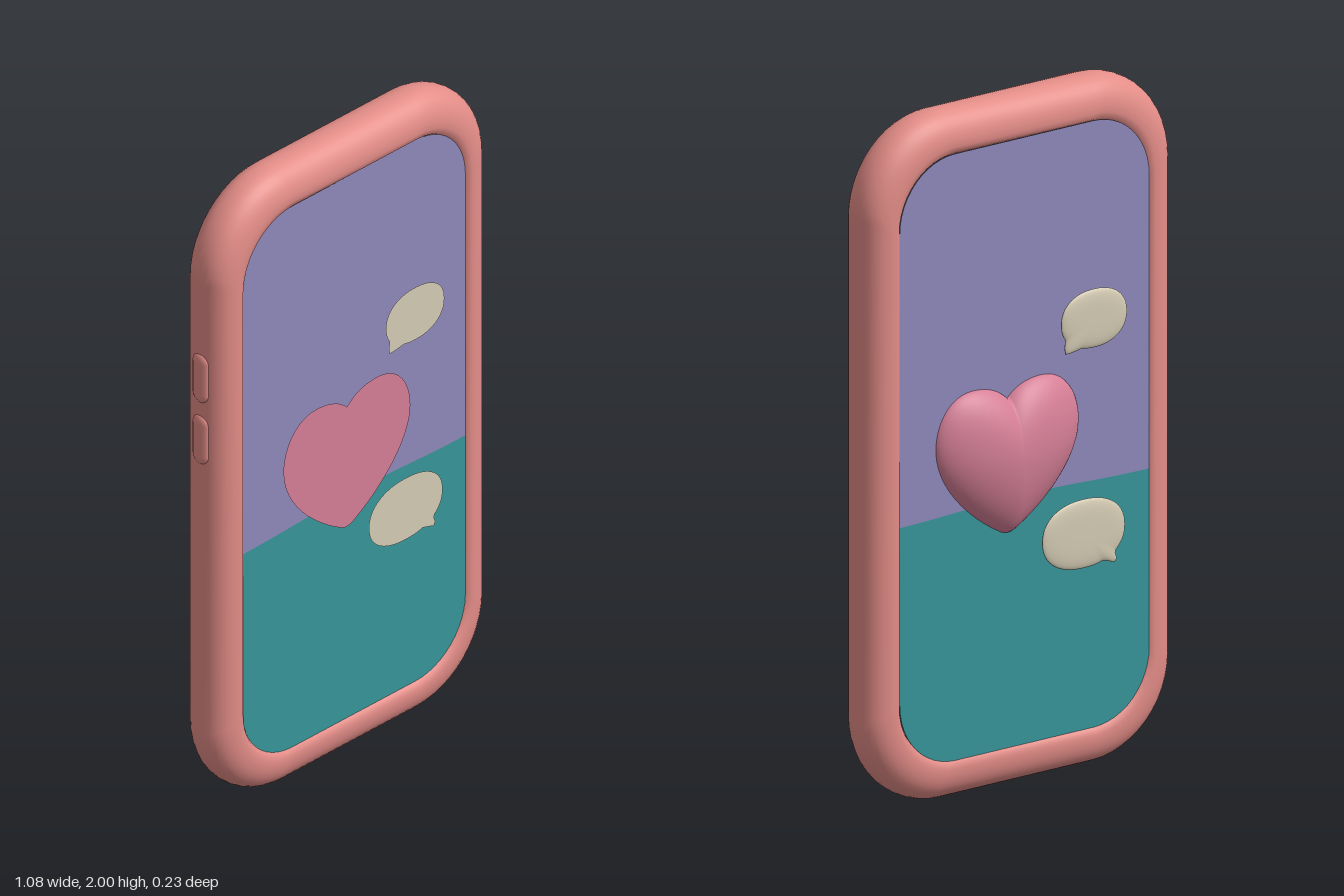
import * as THREE from 'three';
import { mergeVertices } from 'three/addons/utils/BufferGeometryUtils.js';

const mat = (name, color, side = THREE.FrontSide) => {
  const m = new THREE.MeshStandardMaterial({ color, side });
  m.name = name;
  return m;
};

// Smooth skin over closed rings that all have the same number of points
function skin(rings) {
  const n = rings[0].length, index = [];
  for (let i = 0; i < rings.length - 1; i++) {
    for (let j = 0; j < n; j++) {
      const k = (j + 1) % n;
      const a = i * n + j, b = i * n + k, c = a + n, d = b + n;
      index.push(a, c, d, a, d, b);
    }
  }
  const g = new THREE.BufferGeometry();
  g.setAttribute('position', new THREE.Float32BufferAttribute(rings.flat(2), 3));
  g.setIndex(index);
  const merged = mergeVertices(g, 1e-5);
  merged.computeVertexNormals();
  return merged;
}

// Rounded rectangle inset by d from the case outline, anticlockwise from the right
function outline(d) {
  const w = 0.537 - d, h = 1 - d * 1.2, r = 0.27 - d * 0.75, pts = [];
  for (let q = 0; q < 4; q++) {
    const sx = q === 0 || q === 3 ? 1 : -1, sy = q < 2 ? 1 : -1;
    for (let i = 0; i <= 12; i++) {
      const a = (q + i / 12) * Math.PI / 2;
      pts.push([sx * (w - r) + r * Math.cos(a), 1 + sy * (h - r) + r * Math.sin(a)]);
    }
  }
  return pts;
}

// Heart outline around its own centre
function heartPoints() {
  const s = new THREE.Shape();
  s.moveTo(0, 0.165);
  s.bezierCurveTo(-0.03, 0.195, -0.07, 0.21, -0.12, 0.21);
  s.bezierCurveTo(-0.2, 0.21, -0.25, 0.14, -0.25, 0.06);
  s.bezierCurveTo(-0.25, -0.05, -0.13, -0.16, -0.03, -0.215);
  s.quadraticCurveTo(0, -0.235, 0.03, -0.215);
  s.bezierCurveTo(0.13, -0.16, 0.25, -0.05, 0.25, 0.06);
  s.bezierCurveTo(0.25, 0.14, 0.2, 0.21, 0.12, 0.21);
  s.bezierCurveTo(0.07, 0.21, 0.03, 0.195, 0, 0.165);
  return s.getPoints(12).slice(0, -1).map((p) => [p.x, p.y]);
}

// Speech bubble: ellipse with a small pointed tail
function bubblePoints(rx, ry, tailAngle, tailWidth) {
  const pts = [];
  for (let i = 0; i < 72; i++) {
    const a = -Math.PI + (i / 72) * Math.PI * 2;
    const k = 1 + 0.3 * Math.max(0, 1 - Math.abs(a - tailAngle) / tailWidth);
    const c = Math.cos(a), s = Math.sin(a);
    pts.push([
      rx * k * Math.sign(c) * Math.abs(c) ** 0.9,
      ry * k * Math.sign(s) * Math.abs(s) ** 0.9,
    ]);
  }
  return pts;
}

const flat = (pts) => new THREE.ShapeGeometry(new THREE.Shape(pts.map((p) => new THREE.Vector2(...p))));
const ring = (pts, s, z) => pts.map(([x, y]) => [x * s, y * s, z]);

// Puffy form raised from an outline; closed at the back when twoSided
function pillow(pts, height, edgePower, roundness, twoSided) {
  const rings = [], n = 14;
  for (let i = 0; i <= n; i++) {
    const s = Math.sin((i / n) * Math.PI / 2);
    rings.push(ring(pts, s, height * Math.max(0, 1 - s ** edgePower) ** roundness));
  }
  if (twoSided) {
    for (let i = n - 1; i >= 0; i--) rings.push(rings[i].map(([x, y, z]) => [x, y, -z]));
  }
  return skin(rings);
}

export function createModel() {
  const model = new THREE.Group();
  model.name = 'phoneCase';
  const pink = mat('casePink', 0xe48d88);
  const purple = mat('skyPurple', 0x8f89bc);
  const teal = mat('seaTeal', 0x37959a);
  const rose = mat('heartRose', 0xd67f97);
  const cream = mat('bubbleCream', 0xd5ccb4);

  const add = (parent, name, geometry, material, x = 0, y = 0, z = 0) => {
    const m = new THREE.Mesh(geometry, material);
    m.name = name;
    m.position.set(x, y, z);
    parent.add(m);
    return m;
  };

  // Rounded frame swept around the outline
  const zMid = 0.034, zHalf = 0.081;
  const profile = [[0.1, zMid + zHalf - 0.016], [0.094, zMid + zHalf - 0.005]];
  for (let i = 0; i <= 18; i++) {
    const a = Math.PI / 2 - (i / 18) * Math.PI;
    const s = Math.sin(a);
    profile.push([
      0.08 * (1 - Math.cos(a) ** 0.9),
      zMid + zHalf * Math.sign(s) * Math.abs(s) ** 0.9,
    ]);
  }
  profile.push([0.094, zMid - zHalf + 0.004], [0.1, zMid - zHalf + 0.014]);
  add(model, 'frame', skin(profile.map(([d, z]) => outline(d).map(([x, y]) => [x, y, z]))), pink);

  // Two-colour panel split by a gentle wave
  const edge = outline(0.098), half = 0.439, wave = [];
  for (let i = 0; i <= 24; i++) {
    const t = i / 24;
    wave.push([-half + 2 * half * t, 0.838 + 0.006 * Math.sin(t * Math.PI * 2 - 1.5)]);
  }
  const upper = flat([...edge.filter((p) => p[1] > 0.85), ...wave]);
  const lower = flat([...edge.filter((p) => p[1] < 0.82), ...wave.slice().reverse()]);

  const heart = heartPoints();
  const bubbles = [
    { name: 'upperBubble', x: 0.237, y: 1.32, pts: bubblePoints(0.115, 0.085, -2.27, 0.32) },
    { name: 'lowerBubble', x: 0.2, y: 0.7, pts: bubblePoints(0.145, 0.1, -0.93, 0.17) },
  ];

  // Front: painted picture
  const front = new THREE.Group();
  front.name = 'frontFace';
  add(front, 'frontSky', upper, purple, 0, 0, 0.104);
  add(front, 'frontSea', lower, teal, 0, 0, 0.104);
  add(front, 'paintedHeart', flat(heart), rose, -0.032, 0.97, 0.108);
  for (const b of bubbles) add(front, 'painted_' + b.name, flat(b.pts), cream, b.x, b.y, 0.108);
  model.add(front);

  // Back: same picture turned around, with raised heart and bubbles
  const back = new THREE.Group();
  back.name = 'backFace';
  back.rotation.y = Math.PI;
  add(back, 'backSky', upper, purple, 0, 0, 0.04);
  add(back, 'backSea', lower, teal, 0, 0, 0.04);
  add(back, 'raisedHeart', pillow(heart, 0.08, 2, 0.65, false), rose, -0.062, 0.97, 0.04);
  for (const b of bubbles) {
    add(back, b.name, pillow(b.pts, 0.011, 4, 0.5, true), cream, b.x - 0.016, b.y, 0.07);
  }
  model.add(back);

  // Volume buttons on the right edge
  for (const [name, y] of [['upperButton', 1.42], ['lowerButton', 1.22]]) {
    const b = add(model, name, new THREE.CapsuleGeometry(0.03, 0.1, 6, 16), pink, -0.532, y, zMid);
    b.scale.x = 0.45;
  }
  return model;
}
